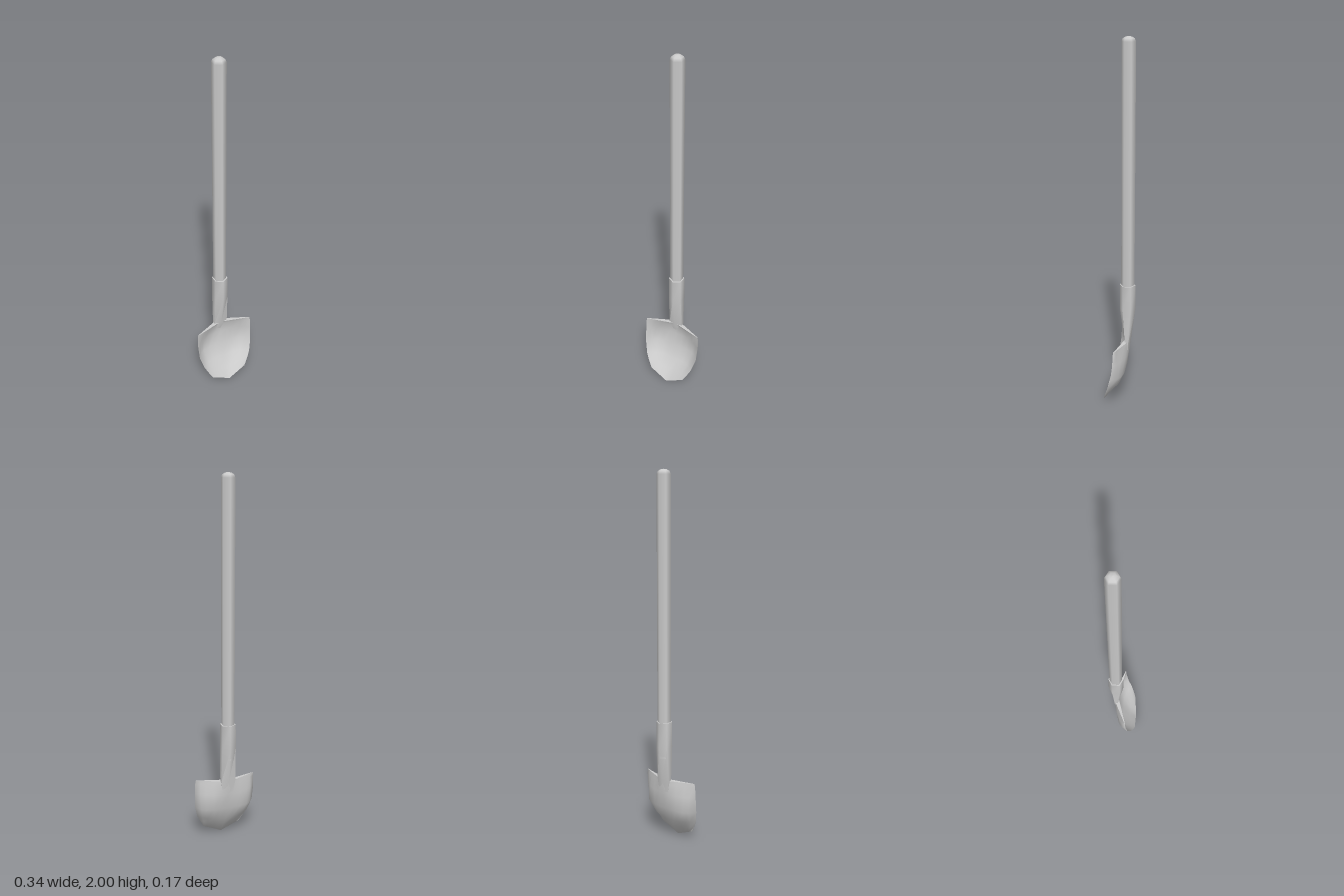
import * as THREE from 'three';
import { toCreasedNormals } from 'three/addons/utils/BufferGeometryUtils.js';

const material = new THREE.MeshStandardMaterial({ color: 0xcccccc });

// Skin closed rings (bottom to top, counterclockwise from above)
function loft(rings, capped) {
  const n = rings[0].length, last = (rings.length - 1) * n, index = [];
  const quad = (a, b, c, d) => index.push(a, b, c, a, c, d);
  for (let r = 0; r < rings.length - 1; r++) {
    for (let i = 0; i < n; i++) {
      const j = (i + 1) % n;
      quad(r * n + i, r * n + j, (r + 1) * n + j, (r + 1) * n + i);
    }
  }
  if (capped) {
    for (let i = 0; i < n / 2 - 1; i++) {
      quad(last + i, last + i + 1, last + n - 2 - i, last + n - 1 - i);
      quad(n - 1 - i, n - 2 - i, i + 1, i);
    }
  }
  const geometry = new THREE.BufferGeometry();
  geometry.setAttribute('position', new THREE.Float32BufferAttribute(rings.flat(2), 3));
  geometry.setIndex(index);
  return toCreasedNormals(geometry, 1.2);
}

// Six-sided ring with a corner facing front and back
function hexRing([y, z, rx, rz]) {
  return Array.from({ length: 6 }, (_, i) => {
    const a = (i * Math.PI) / 3;
    return [(Math.sin(a) / 0.866) * rx, y, z + Math.cos(a) * rz];
  });
}

// Blade section: front surface left to right, then back surface right to left
function bladeRing([yMid, yEdge, halfWidth, zMid, zEdge, power, thickness]) {
  const columns = [-1, -0.85, -0.7, -0.45, -0.23, 0, 0.23, 0.45, 0.7, 0.85, 1];
  const point = (u, front) => {
    const a = Math.abs(u);
    const t = front ? 0.003 + thickness * (1 - a) : 0;
    return [u * halfWidth, yMid + (yEdge - yMid) * a, zMid + (zEdge - zMid) * a ** power + t];
  };
  return [
    ...columns.map((u) => point(u, true)),
    ...columns.map((u) => point(-u, false)),
  ];
}

export function createModel() {
  const group = new THREE.Group();
  const add = (name, geometry) => {
    const mesh = new THREE.Mesh(geometry, material);
    mesh.name = name;
    group.add(mesh);
    return mesh;
  };

  // Six-sided shaft with a rounded end
  const profile = [[0.036, 0.5], [0.036, 1.975], [0.029, 1.99], [0.015, 1.998], [0, 2]];
  const handle = add('handle', new THREE.LatheGeometry(
    profile.map(([r, y]) => new THREE.Vector2(r, y)), 6));
  handle.position.z = -0.043;

  // Socket flattening down into the blade; last ring closes the rim
  add('socket', loft([
    [0.3, -0.045, 0.03, 0.005],
    [0.37, -0.042, 0.04, 0.019],
    [0.56, -0.042, 0.038, 0.043],
    [0.7, -0.042, 0.037, 0.043],
    [0.7, -0.043, 0.029, 0.034],
  ].map(hexRing), false));

  // Dished blade, from the pointed tip up to the foot edge
  add('blade', loft([
    [0, 0.05, 0.105, 0.08, 0.072, 1, 0.001],
    [0.06, 0.09, 0.128, 0.036, 0.061, 2.2, 0.004],
    [0.12, 0.13, 0.148, -0.006, 0.048, 3, 0.006],
    [0.2, 0.2, 0.167, -0.036, 0.026, 5, 0.008],
    [0.29, 0.29, 0.171, -0.05, 0.014, 2.2, 0.011],
    [0.35, 0.35, 0.169, -0.058, 0.011, 1.2, 0.018],
    [0.37, 0.37, 0.166, -0.061, 0.01, 1, 0.028],
  ].map(bladeRing), true));

  return group;
}
